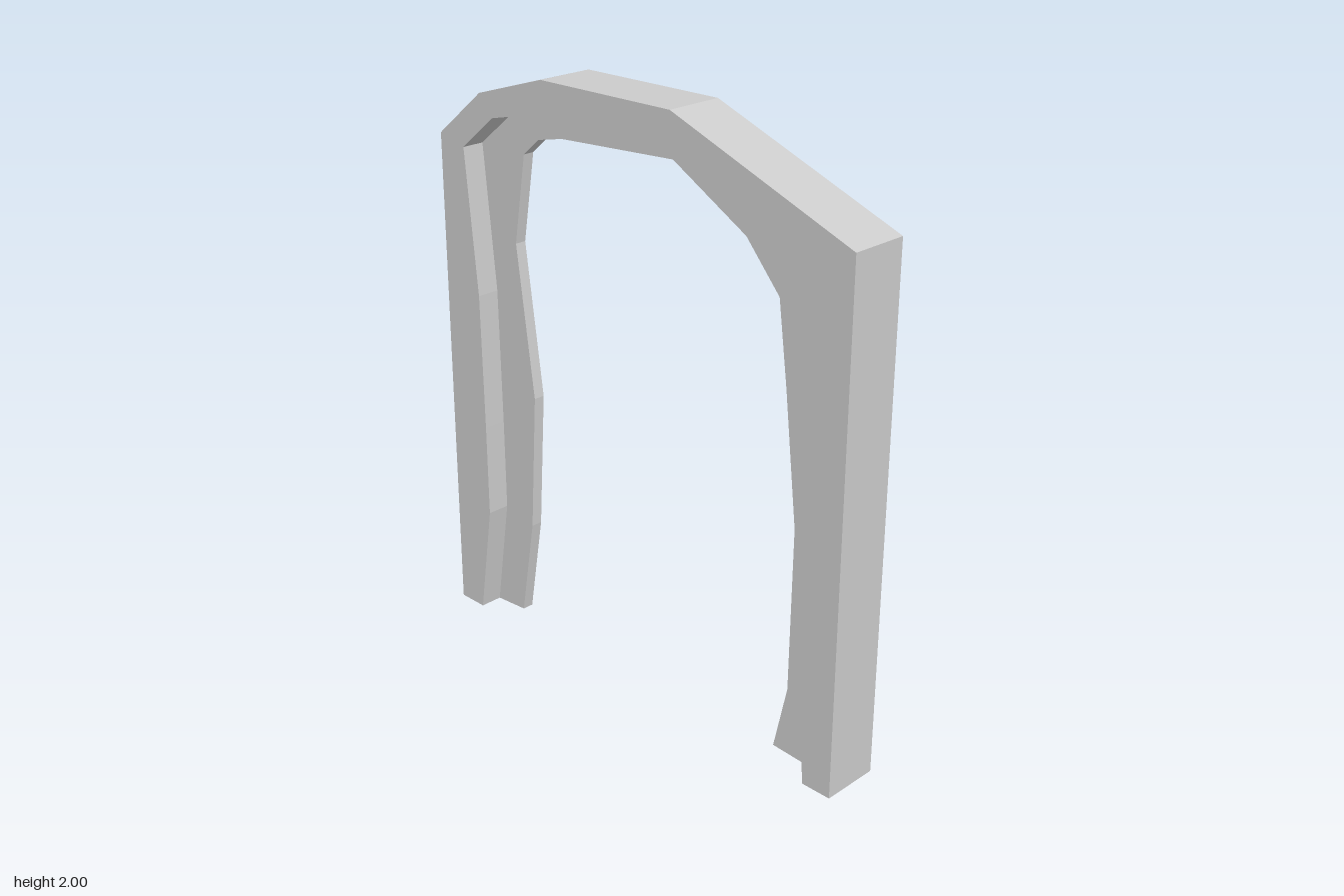
import * as THREE from 'three';

const material = new THREE.MeshStandardMaterial({ color: 0xcccccc, flatShading: true });

// Contours run from the foot at -x, over the top, to the foot at +x
const outerEdge = [
  [-0.87, 0], [-0.87, 1.74], [-0.665, 1.905], [-0.37, 1.995], [0.18, 2], [0.87, 1.74], [0.87, 0],
];
const stepEdge = [
  [-0.76, 0], [-0.698, 0.4], [-0.7, 0.73], [-0.708, 1.21], [-0.756, 1.712], [-0.605, 1.834],
  [-0.378, 1.888], [0.14, 1.92], [0.589, 1.715], [0.714, 1.545], [0.769, 1.214], [0.733, 0.33], [0.764, 0],
];
const openingEdge = [
  [-0.625, 0.01], [-0.563, 0.37], [-0.531, 0.865], [-0.603, 1.4], [-0.55, 1.712], [-0.478, 1.773],
  [-0.367, 1.797], [0.116, 1.827], [0.41, 1.661], [0.542, 1.51], [0.579, 1.235], [0.629, 0.8],
  [0.624, 0.24], [0.574, 0.01],
];

// Solid band between two contours, centred on z = 0
function archBand(name, outside, inside, depth) {
  const points = [...outside, ...[...inside].reverse()].map(([x, y]) => new THREE.Vector2(x, y));
  const geometry = new THREE.ExtrudeGeometry(new THREE.Shape(points), { depth, bevelEnabled: false });
  geometry.translate(0, 0, -depth / 2);
  const mesh = new THREE.Mesh(geometry, material);
  mesh.name = name;
  return mesh;
}

export function createModel() {
  const group = new THREE.Group();
  group.name = 'archway';
  // Deep outer frame
  group.add(archBand('outerFrame', outerEdge, stepEdge, 0.2));
  // Thin recessed lip around the opening
  group.add(archBand('innerLip', stepEdge, openingEdge, 0.04));
  return group;
}
